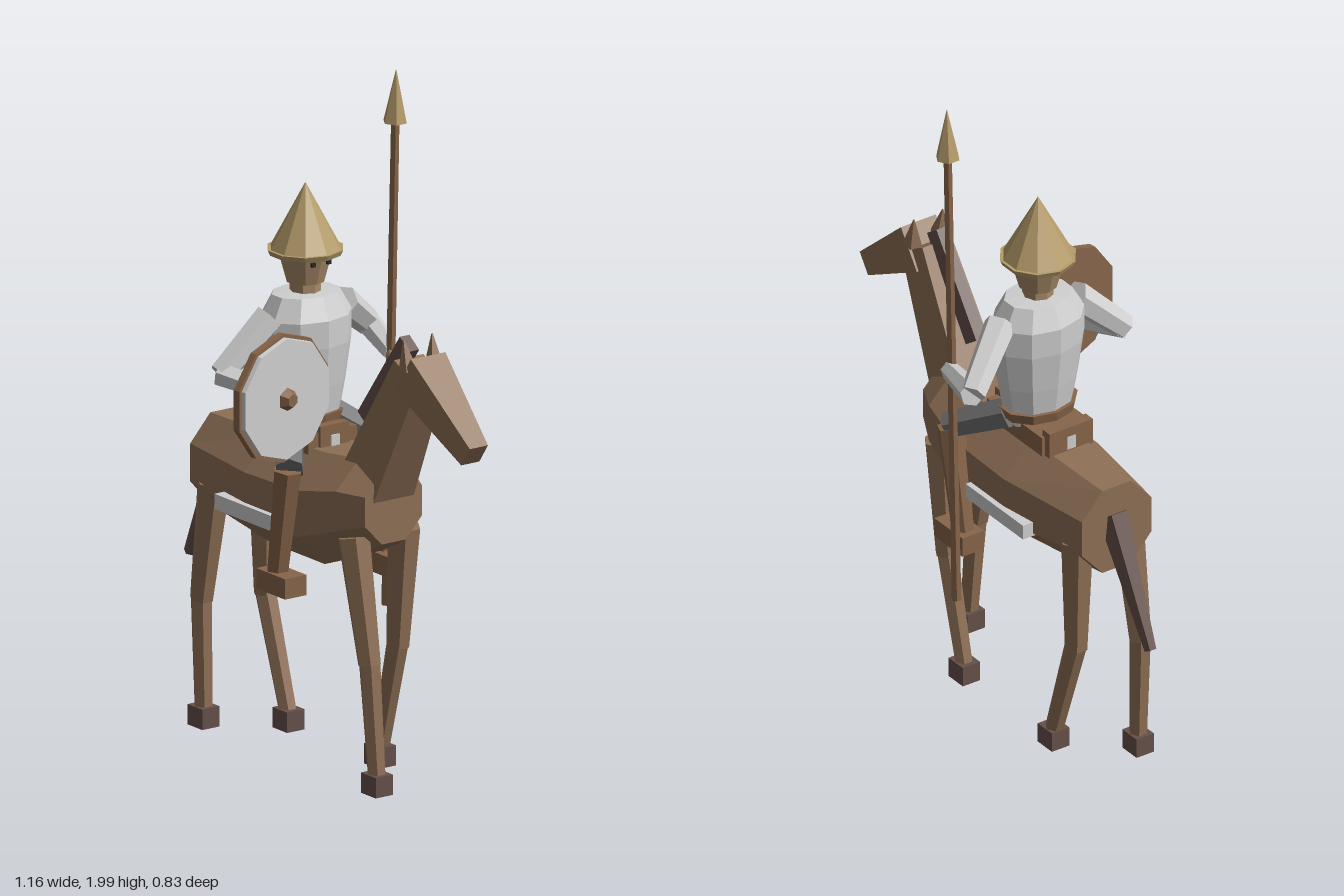
import * as THREE from 'three';

const mat = (name, color) => {
  const m = new THREE.MeshStandardMaterial({ color });
  m.name = name;
  return m;
};

export function createModel() {
  const coat = mat('brown coat', 0x8f7056);
  const dark = mat('dark hair and hoof', 0x66504a);
  const leather = mat('leather', 0x876549);
  const cloth = mat('light grey', 0xcfcfcf);
  const grey = mat('dark grey', 0x6c6c6c);
  const brass = mat('brass', 0xb59c6a);
  const skin = mat('skin', 0xa88a68);
  const black = mat('eye black', 0x2a2420);

  const model = new THREE.Group();
  // Inside the mount group: z is forward, x is left
  const mount = new THREE.Group();
  mount.name = 'horseAndRider';
  mount.rotation.y = THREE.MathUtils.degToRad(55);
  model.add(mount);

  const V = (p) => new THREE.Vector3(...p);
  // Faceted mesh
  const add = (name, geo, material, pos = [0, 0, 0], parent = mount) => {
    const g = geo.index ? geo.toNonIndexed() : geo;
    g.computeVertexNormals();
    const m = new THREE.Mesh(g, material);
    m.name = name;
    m.position.set(...pos);
    parent.add(m);
    return m;
  };
  const box = (name, size, pos, material) => add(name, new THREE.BoxGeometry(...size), material, pos);
  // Tapered prism from point a to point b
  const limb = (name, a, b, r0, r1, material, sides = 6, width = 1) => {
    const d = V(b).sub(V(a));
    const geo = new THREE.CylinderGeometry(r1, r0, d.length(), sides);
    geo.rotateY(Math.PI / sides);
    geo.scale(width, 1, 1);
    const m = add(name, geo, material, V(a).addScaledVector(d, 0.5).toArray());
    m.quaternion.setFromUnitVectors(new THREE.Vector3(0, 1, 0), d.normalize());
    return m;
  };
  // Loft of elliptical rings [z, centreY, halfWidth, halfHeight]
  const loft = (rings, n) => {
    const pos = [], idx = [];
    const c = 1 / Math.cos(Math.PI / n);
    rings.forEach(([z, y, w, h]) => {
      for (let i = 0; i < n; i++) {
        const t = ((i + 0.5) / n) * Math.PI * 2;
        pos.push(Math.cos(t) * w * c, y + Math.sin(t) * h * c, z);
      }
    });
    const last = (rings.length - 1) * n;
    for (let k = 0; k < last; k += n) {
      for (let i = 0; i < n; i++) {
        const j = (i + 1) % n;
        idx.push(k + i, k + j, k + n + i, k + j, k + n + j, k + n + i);
      }
    }
    for (let i = 1; i < n - 1; i++) idx.push(0, i + 1, i, last, last + i, last + i + 1);
    const g = new THREE.BufferGeometry();
    g.setAttribute('position', new THREE.Float32BufferAttribute(pos, 3));
    g.setIndex(idx);
    return g;
  };

  // Horse body, neck, head
  add('horseBody', loft([
    [-0.52, 0.785, 0.12, 0.135],
    [-0.2, 0.775, 0.165, 0.16],
    [0.05, 0.78, 0.165, 0.165],
    [0.2, 0.82, 0.14, 0.14],
    [0.285, 0.83, 0.1, 0.105],
  ], 8), coat);
  limb('horseNeck', [0, 0.87, 0.2], [0, 1.26, 0.41], 0.12, 0.085, coat, 4, 0.85);
  limb('horseHead', [0, 1.26, 0.41], [0, 1.075, 0.67], 0.095, 0.05, coat, 4, 0.9);
  limb('mane', [0, 1.06, 0.165], [0, 1.33, 0.36], 0.045, 0.04, dark, 4, 0.6);
  limb('tail', [0, 0.82, -0.5], [0, 0.46, -0.685], 0.045, 0.018, dark, 5);
  for (const s of [-1, 1]) {
    limb('ear', [s * 0.045, 1.27, 0.415], [s * 0.05, 1.36, 0.4], 0.028, 0.002, coat, 4);
  }

  // Horse legs: [side, hip z, knee z, hoof z]
  [
    [-1, 0.215, 0.29, 0.325],
    [1, 0.215, 0.185, 0.1],
    [-1, -0.45, -0.51, -0.5],
    [1, -0.45, -0.445, -0.335],
  ].forEach(([s, hip, knee, foot]) => {
    const x = s * 0.088;
    limb('upperLeg', [x, 0.74, hip], [x, 0.38, knee], 0.05, 0.035, coat);
    limb('lowerLeg', [x, 0.39, knee], [x, 0.05, foot], 0.033, 0.027, coat);
    box('hoof', [0.06, 0.06, 0.07], [x, 0.038, foot], dark);
  });

  // Saddle and saddle cloth
  box('saddleCloth', [0.365, 0.045, 0.28], [0, 0.73, -0.18], cloth);
  box('saddleStrap', [0.03, 0.04, 0.31], [0, 0.955, -0.145], cloth);
  box('saddle', [0.17, 0.06, 0.27], [0, 0.955, -0.14], leather);
  box('cantle', [0.15, 0.08, 0.035], [0, 0.965, -0.28], leather);
  box('pommel', [0.1, 0.08, 0.03], [0, 0.965, -0.01], leather);

  // Rider torso, head, helmet
  const Z = -0.135;
  const profile = [[0, 0.97], [0.1, 0.97], [0.125, 1.1], [0.143, 1.22], [0.143, 1.3], [0.105, 1.365], [0, 1.37]];
  const torso = new THREE.LatheGeometry(profile.map((p) => new THREE.Vector2(...p)), 10);
  torso.scale(1, 1, 0.78);
  add('torso', torso, cloth, [0, 0, Z]);
  const belt = new THREE.CylinderGeometry(0.122, 0.115, 0.03, 10);
  belt.scale(1, 1, 0.8);
  add('belt', belt, leather, [0, 1.005, Z]);
  add('neck', new THREE.CylinderGeometry(0.045, 0.045, 0.06, 8), skin, [0, 1.385, Z]);
  add('head', new THREE.CylinderGeometry(0.08, 0.055, 0.09, 10), skin, [0, 1.44, Z]);
  for (const s of [-1, 1]) box('eye', [0.014, 0.012, 0.008], [s * 0.027, 1.462, Z + 0.074], black);
  add('helmetRim', new THREE.CylinderGeometry(0.112, 0.105, 0.016, 10), brass, [0, 1.485, Z]);
  add('helmet', new THREE.ConeGeometry(0.104, 0.195, 10), brass, [0, 1.588, Z]);

  // Rider legs
  for (const s of [-1, 1]) {
    limb('thigh', [s * 0.08, 0.99, -0.11], [s * 0.185, 0.91, 0.04], 0.05, 0.043, grey);
    limb('shin', [s * 0.183, 0.91, 0.03], [s * 0.18, 0.58, -0.025], 0.043, 0.033, leather);
    box('boot', [0.075, 0.06, 0.137], [s * 0.18, 0.57, -0.005], leather);
  }

  // Arms: shoulder, elbow, hand
  [
    [[0.13, 1.31, -0.135], [0.3, 1.19, -0.24], [0.245, 1.155, -0.05]],
    [[-0.13, 1.31, -0.13], [-0.285, 1.165, -0.15], [-0.205, 1.13, 0.035]],
  ].forEach(([a, b, c]) => {
    limb('upperArm', a, b, 0.047, 0.038, cloth);
    limb('forearm', b, c, 0.038, 0.028, cloth);
    add('hand', new THREE.IcosahedronGeometry(0.027, 0), skin, c);
  });

  // Spear
  limb('spearShaft', [0.24, 0.41, -0.076], [0.238, 1.86, -0.03], 0.015, 0.013, leather);
  limb('spearHead', [0.238, 1.845, -0.031], [0.238, 2, -0.026], 0.036, 0.001, brass);

  // Round shield
  const shield = new THREE.Group();
  shield.name = 'shield';
  shield.position.set(-0.234, 1.14, 0.066);
  shield.rotation.y = 0.17;
  mount.add(shield);
  const disc = (name, r0, r1, depth, z, material, sides = 10) => {
    const g = new THREE.CylinderGeometry(r1, r0, depth, sides);
    g.rotateX(Math.PI / 2);
    add(name, g, material, [0, 0, z], shield);
  };
  disc('shieldBack', 0.19, 0.19, 0.022, 0, leather);
  disc('shieldFace', 0.18, 0.178, 0.014, 0.018, cloth);
  disc('shieldBoss', 0.036, 0.02, 0.025, 0.035, leather, 6);

  return model;
}
